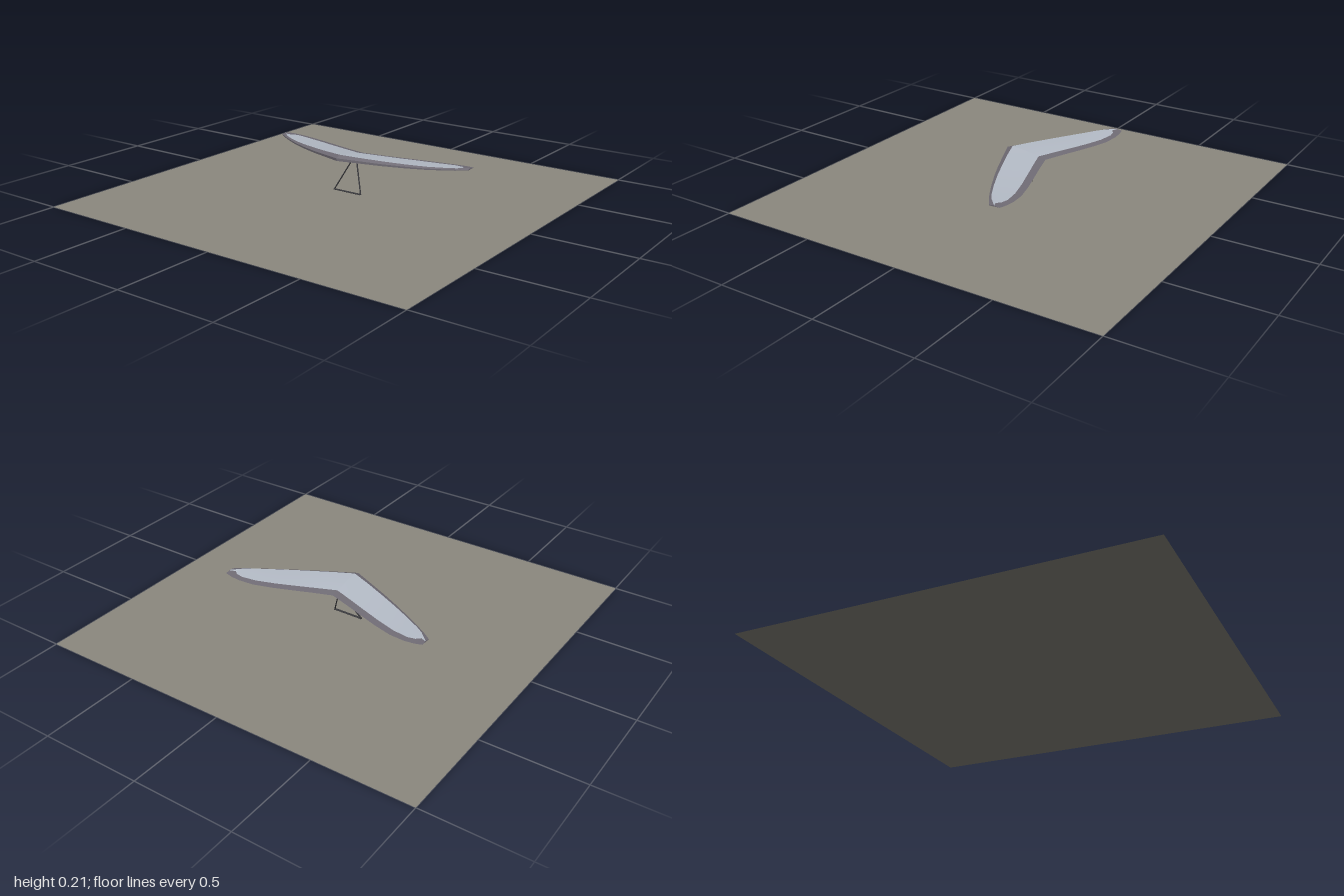
import * as THREE from 'three';

const mat = (name, color, side = THREE.FrontSide) => {
  const m = new THREE.MeshStandardMaterial({ color, side });
  m.name = name;
  return m;
};

// Half-wing stations: x, leading z, panel front z, panel rear z, trailing z, top y, trailing y, nose depth
const stations = [
  [0.00, 0.090, 0.060, -0.090, -0.130, 0.210, 0.178, 0.024],
  [0.10, 0.050, 0.026, -0.122, -0.159, 0.202, 0.174, 0.021],
  [0.20, 0.010, -0.012, -0.155, -0.191, 0.194, 0.170, 0.018],
  [0.30, -0.035, -0.053, -0.188, -0.223, 0.187, 0.167, 0.015],
  [0.40, -0.085, -0.099, -0.216, -0.249, 0.181, 0.165, 0.012],
  [0.48, -0.130, -0.142, -0.229, -0.257, 0.179, 0.167, 0.010],
  [0.52, -0.155, -0.168, -0.222, -0.255, 0.178, 0.169, 0.009],
  [0.54, -0.168, -0.188, -0.204, -0.252, 0.178, 0.170, 0.008],
  [0.57, -0.190, -0.216, -0.217, -0.245, 0.177, 0.172, 0.007],
];

// Named points of each wing section
const section = ([x, zl, zf, zr, zt, y, yt, d]) => {
  const yr = yt + 0.22 * (y - yt) + 0.002;
  return {
    noseLow: [x, y - d, zl],
    nose: [x, y - d * 0.45, zl],
    front: [x, y, zf],
    mid: [x, (y + yr) / 2 + 0.1 * (y - yr), (zf + zr) / 2],
    rear: [x, yr, zr],
    trail: [x, yt, zt],
  };
};

// Skin running through the given section points, from root to tip
function skin(keys, side) {
  const pos = [], index = [], n = keys.length;
  stations.map(section).forEach((s, i) => {
    keys.forEach((k, j) => {
      const [x, y, z] = s[k];
      pos.push(x * side, y, z);
      if (i && j) {
        const a = (i - 1) * n + j - 1, b = a + 1, c = a + n, d = c + 1;
        if (side > 0) index.push(a, c, b, b, c, d);
        else index.push(a, b, c, b, d, c);
      }
    });
  });
  const g = new THREE.BufferGeometry();
  g.setAttribute('position', new THREE.Float32BufferAttribute(pos, 3));
  g.setIndex(index);
  g.computeVertexNormals();
  return g;
}

// Flat closing face at the wing tip
function tipCap(side) {
  const s = section(stations[stations.length - 1]);
  const p = [s.noseLow, s.nose, s.front, s.rear, s.trail].map(([x, y, z]) => [x * side, y, z]);
  const g = new THREE.BufferGeometry();
  g.setAttribute('position', new THREE.Float32BufferAttribute(p.flat(), 3));
  g.setIndex(side > 0 ? [0, 4, 1, 1, 4, 3, 1, 3, 2] : [0, 1, 4, 1, 3, 4, 1, 2, 3]);
  g.computeVertexNormals();
  return g;
}

export function createModel() {
  const group = new THREE.Group();
  const ground = mat('groundGrey', 0x8c897f, THREE.DoubleSide);
  const sail = mat('sailPaleBlue', 0xb4bbc6, THREE.DoubleSide);
  const edge = mat('edgeGrey', 0x706c75, THREE.DoubleSide);
  const tube = mat('tubeDark', 0x3a3a3e);

  const add = (name, geo, material, parent = group) => {
    const m = new THREE.Mesh(geo, material);
    m.name = name;
    parent.add(m);
    return m;
  };

  // Ground sheet
  add('groundSheet', new THREE.PlaneGeometry(2, 2).rotateX(-Math.PI / 2), ground);

  // Swept wing, one half per side
  for (const side of [1, -1]) {
    const wing = new THREE.Group();
    wing.name = side > 0 ? 'leftWing' : 'rightWing';
    group.add(wing);
    add('leadingEdgeFace', skin(['noseLow', 'nose'], side), edge, wing);
    add('leadingBorder', skin(['nose', 'front'], side), edge, wing);
    add('sailPanel', skin(['front', 'mid', 'rear'], side), sail, wing);
    add('trailingBorder', skin(['rear', 'trail'], side), edge, wing);
    add('underside', skin(['trail', 'noseLow'], side), edge, wing);
    add('wingTip', tipCap(side), edge, wing);
  }

  // Triangular control frame hanging below the wing
  const frame = new THREE.Group();
  frame.name = 'controlFrame';
  group.add(frame);
  const bar = (name, a, b, width, depth) => {
    const from = new THREE.Vector3(...a), to = new THREE.Vector3(...b);
    const dir = to.clone().sub(from);
    const g = new THREE.CylinderGeometry(1, 1, dir.length(), 8).scale(width / 2, 1, depth / 2);
    const m = add(name, g, tube, frame);
    m.position.copy(from).add(to).multiplyScalar(0.5);
    m.quaternion.setFromUnitVectors(new THREE.Vector3(0, 1, 0), dir.normalize());
  };
  for (const side of [1, -1]) {
    bar(side > 0 ? 'leftUpright' : 'rightUpright', [0.08 * side, 0.007, 0], [0, 0.185, -0.071], 0.004, 0.011);
  }
  bar('baseBar', [-0.08, 0.007, 0.002], [0.08, 0.007, 0.002], 0.006, 0.014);

  return group;
}
